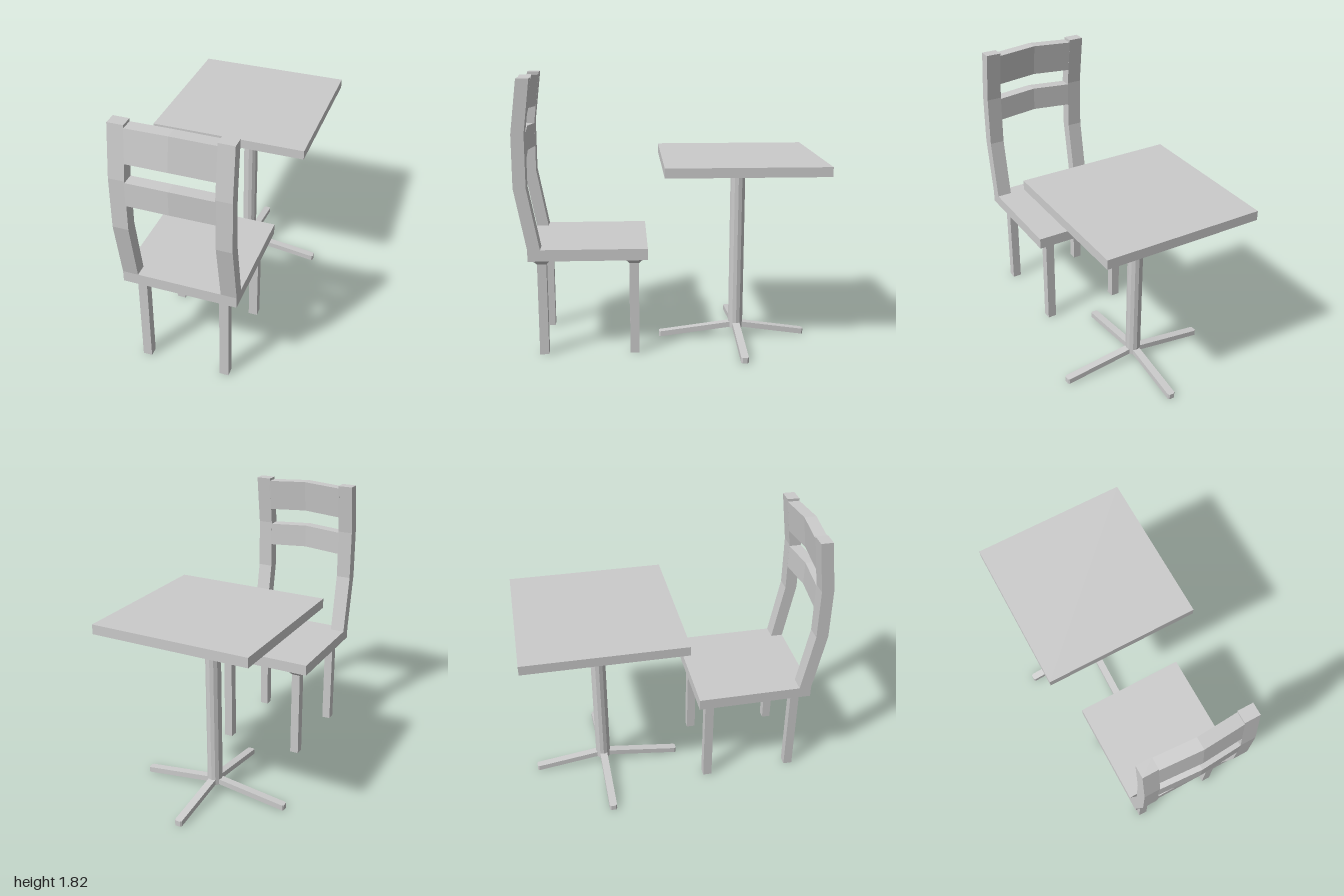
import * as THREE from 'three';

const material = new THREE.MeshStandardMaterial({ color: 0xcccccc, flatShading: true });

function add(parent, name, geometry, x = 0, y = 0, z = 0) {
  const mesh = new THREE.Mesh(geometry, material);
  mesh.name = name;
  mesh.position.set(x, y, z);
  parent.add(mesh);
  return mesh;
}

// Box given by its two opposite corners
function addBox(parent, name, [x0, y0, z0], [x1, y1, z1]) {
  const geometry = new THREE.BoxGeometry(x1 - x0, y1 - y0, z1 - z0);
  return add(parent, name, geometry, (x0 + x1) / 2, (y0 + y1) / 2, (z0 + z1) / 2);
}

// Four-sided frustum, wide at the top
function frustum(halfTop, halfBottom, height) {
  return new THREE.CylinderGeometry(halfTop * Math.SQRT2, halfBottom * Math.SQRT2, height, 4)
    .rotateY(Math.PI / 4);
}

// Move every vertex by a rule and refresh the flat normals
function reshape(geometry, rule) {
  const g = geometry.index ? geometry.toNonIndexed() : geometry;
  const p = g.attributes.position;
  const v = new THREE.Vector3();
  for (let i = 0; i < p.count; i++) {
    rule(v.fromBufferAttribute(p, i));
    p.setXYZ(i, v.x, v.y, v.z);
  }
  g.computeVertexNormals();
  return g;
}

function shapeFrom(points) {
  return new THREE.Shape(points.map(([x, y]) => new THREE.Vector2(x, y)));
}

// Sloping foot with a chamfered tip, running along +x from the column
function footGeometry(length) {
  const w = 0.025, c = 0.009;
  const plan = shapeFrom([[0, -w], [length - c, -w], [length, -w + c],
    [length, w - c], [length - c, w], [0, w]]);
  const g = new THREE.ExtrudeGeometry(plan, { depth: 0.037, bevelEnabled: false });
  g.rotateX(-Math.PI / 2);
  return reshape(g, v => { v.y += 0.068 * (1 - v.x / length); });
}

function createTable() {
  const table = new THREE.Group();
  table.name = 'table';
  const half = 0.5185;

  addBox(table, 'tableTop', [-half, 1.218, -half], [half, 1.28, half]);
  add(table, 'taperedUnderside', frustum(half, 0.001, 0.065), 0, 1.1855, 0);
  add(table, 'column', new THREE.CylinderGeometry(0.05, 0.05, 1.11, 12), 0, 0.615, 0);

  // Feet pointing to +x, -z, -x and +z
  [0.515, 0.476, 0.515, 0.534].forEach((length, i) => {
    add(table, 'foot', footGeometry(length)).rotation.y = i * Math.PI / 2;
  });

  table.position.z = -0.4815;
  return table;
}

// Backrest slat, bowed to a ridge in the middle and leaning with the uprights
function slatGeometry(y0, y1, zBottom, zTop, depth) {
  const halfWidth = 0.275;
  const g = new THREE.BoxGeometry(halfWidth * 2, y1 - y0, depth, 2, 1, 1);
  return reshape(g, v => {
    const bow = 1 - Math.abs(v.x) / halfWidth;
    const t = v.y / (y1 - y0) + 0.5;
    v.y += (y0 + y1) / 2 + 0.015 * bow;
    v.z += zBottom + (zTop - zBottom) * t + 0.02 * bow;
  });
}

function createChair() {
  const chair = new THREE.Group();
  chair.name = 'chair';

  addBox(chair, 'seat', [-0.371, 0.66, 0.138], [0.371, 0.735, 0.904]);

  // Bent side profile of the uprights, as [z, y]
  const profile = [[0.904, 0.70], [0.904, 0.735], [0.979, 1.135], [0.979, 1.475], [0.936, 1.815],
    [0.856, 1.815], [0.898, 1.475], [0.898, 1.135], [0.823, 0.735], [0.823, 0.70]];
  const upright = new THREE.ExtrudeGeometry(
    shapeFrom(profile.map(([z, y]) => [-z, y])), { depth: 0.101, bevelEnabled: false });
  upright.rotateY(Math.PI / 2).translate(-0.0505, 0, 0);

  for (const side of [-1, 1]) {
    add(chair, 'backUpright', upright, side * 0.3205);
    for (const z of [0.225, 0.823]) {
      const x = side * 0.27;
      addBox(chair, 'leg', [x - 0.03, 0, z - 0.03], [x + 0.03, 0.63, z + 0.03]);
      add(chair, 'legBracket', frustum(0.066, 0.03, 0.042), x, 0.641, z);
    }
  }

  add(chair, 'topSlat', slatGeometry(1.582, 1.797, 0.925, 0.898, 0.08));
  add(chair, 'lowerSlat', slatGeometry(1.306, 1.465, 0.9385, 0.9385, 0.081));
  return chair;
}

export function createModel() {
  const model = new THREE.Group();
  model.name = 'tableAndChair';
  model.add(createTable(), createChair());
  return model;
}
